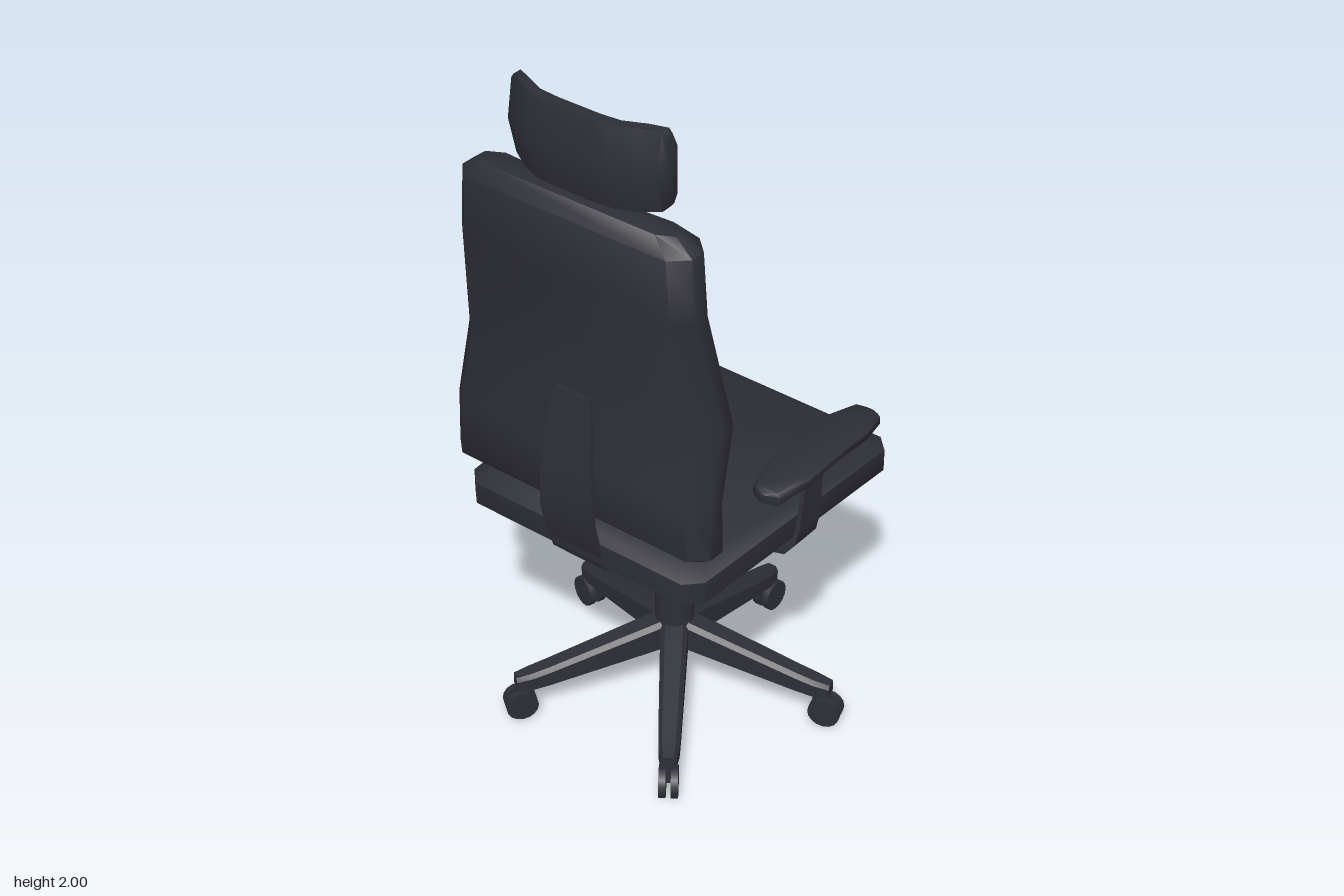
import * as THREE from 'three';
import { toCreasedNormals } from 'three/addons/utils/BufferGeometryUtils.js';

const fabric = new THREE.MeshStandardMaterial({ color: 0x2e2e37 });
fabric.name = 'charcoal';

function mesh(geometry, name, parent) {
  const m = new THREE.Mesh(geometry, fabric);
  m.name = name;
  parent.add(m);
  return m;
}

// Joins equal-length loops of [x, y, z] points into a closed, outward-facing solid.
function loft(sections, crease = 0.9) {
  const n = sections[0].length;
  const pos = sections.flat(2);
  const idx = [];
  for (let s = 0; s < sections.length - 1; s++) {
    for (let i = 0; i < n; i++) {
      const a = s * n + i, b = s * n + (i + 1) % n;
      idx.push(a, b, b + n, a, b + n, a + n);
    }
  }
  const cap = (s, flip) => {
    const c = pos.length / 3;
    for (let k = 0; k < 3; k++) pos.push(sections[s].reduce((t, p) => t + p[k], 0) / n);
    for (let i = 0; i < n; i++) {
      const a = s * n + i, b = s * n + (i + 1) % n;
      idx.push(c, flip ? b : a, flip ? a : b);
    }
  };
  cap(0, true);
  cap(sections.length - 1, false);
  // Reverse the winding when the signed volume is negative
  const v = i => new THREE.Vector3().fromArray(pos, i * 3);
  let volume = 0;
  for (let i = 0; i < idx.length; i += 3) volume += v(idx[i]).dot(v(idx[i + 1]).cross(v(idx[i + 2])));
  if (volume < 0) idx.reverse();
  const g = new THREE.BufferGeometry();
  g.setAttribute('position', new THREE.Float32BufferAttribute(pos, 3));
  g.setIndex(idx);
  return toCreasedNormals(g, crease);
}

// Bent flat bar: path rows are [u, v, halfWidth, widthShift]; place maps (u, v, w) to a point.
function strip(path, thick, place) {
  const sections = path.map(([u, v, hw, shift = 0], i) => {
    const p = path[Math.max(i - 1, 0)], q = path[Math.min(i + 1, path.length - 1)];
    const len = Math.hypot(q[0] - p[0], q[1] - p[1]);
    const nu = -(q[1] - p[1]) / len * thick / 2, nv = (q[0] - p[0]) / len * thick / 2;
    return [[1, 1], [1, -1], [-1, -1], [-1, 1]].map(([a, b]) => place(u + nu * a, v + nv * a, shift + hw * b));
  });
  return loft(sections, 0.6);
}

function addSeat(parent) {
  const rows = [[0.69, 0.045], [0.725, 0], [0.79, 0], [0.825, 0.045]];
  const sections = rows.map(([y, inset]) => {
    const f = 0.415 - inset, b = 0.38 - inset, zf = -0.383 + inset, zb = 0.43 - inset, c = 0.042;
    const half = [[f - c, zf], [f, zf + c], [b, zb - c], [b - c, zb]];
    const left = half.map(([x, z]) => [-x, z]).reverse();
    return [...half, ...left].map(([x, z]) => [x, y, z]);
  });
  mesh(loft(sections), 'seatCushion', parent);
}

function addBackrest(parent) {
  // height, half width, front z, back z
  const rows = [
    [0.842, 0.36, 0.34, 0.4], [0.885, 0.41, 0.315, 0.445], [1.04, 0.407, 0.315, 0.44],
    [1.235, 0.402, 0.265, 0.395], [1.56, 0.362, 0.318, 0.445], [1.73, 0.35, 0.318, 0.445],
    [1.77, 0.3, 0.35, 0.42],
  ];
  const sections = rows.map(([y, w, zf, zb]) => {
    const c = (zb - zf) * 0.33;
    const half = [[0.15, zf + 0.006], [w - 0.045, zf], [w, zf + c], [w, zb - c], [w - 0.045, zb]];
    const left = half.map(([x, z]) => [-x, z]).reverse();
    return [[0, zf + 0.026], ...half, ...left].map(([x, z]) => [x, y, z]);
  });
  mesh(loft(sections), 'backrest', parent);

  // Curved support bar running from under the seat up the back
  const spine = [
    [0.1, 0.678, 0.087], [0.36, 0.678, 0.087], [0.41, 0.7, 0.087], [0.437, 0.78, 0.087], [0.455, 0.86, 0.087],
    [0.455, 0.96, 0.083], [0.442, 1.08, 0.073], [0.428, 1.17, 0.063], [0.421, 1.22, 0.055],
  ];
  mesh(strip(spine, 0.01, (z, y, x) => [x - 0.004, y, z]), 'backSupport', parent);
}

function addHeadrest(parent) {
  // Sections across the width: x, front z, back z, edge trim
  const half = [[0.06, 0.365, 0.436, 0], [0.12, 0.36, 0.43, 0], [0.18, 0.333, 0.402, 0],
    [0.222, 0.312, 0.375, 0.005], [0.24, 0.318, 0.35, 0.025]];
  const rows = [...half.map(([x, ...r]) => [-x, ...r]).reverse(), ...half];
  const sections = rows.map(([x, zf, zb, t]) => {
    const top = 2 - t, low = 1.78 + t, d = (zb - zf) * 0.4;
    return [[low + 0.02, zf], [top - 0.02, zf], [top, zf + 0.012], [top, zb - d],
      [1.89, zb], [low, zb - d], [low, zf + 0.012]].map(([y, z]) => [x, y, z]);
  });
  mesh(loft(sections), 'headrest', parent);
  for (const s of [-1, 1]) {
    mesh(new THREE.BoxGeometry(0.017, 0.09, 0.015), 'headrestPost', parent).position.set(s * 0.035, 1.78, 0.39);
  }
}

function addArm(parent, s) {
  const arm = new THREE.Group();
  arm.name = s > 0 ? 'leftArm' : 'rightArm';
  parent.add(arm);

  // Arched pad, narrowed towards both ends: z, half width, middle height, half thickness
  const rows = [[-0.25, 0.012, 0.967, 0.013], [-0.235, 0.042, 0.967, 0.02], [-0.15, 0.063, 0.977, 0.019],
    [-0.02, 0.063, 0.982, 0.016], [0.11, 0.063, 0.977, 0.019], [0.195, 0.042, 0.967, 0.02], [0.212, 0.012, 0.967, 0.013]];
  const sections = rows.map(([z, w, y, h]) =>
    [[-w, -h * 0.4], [-w * 0.8, -h], [w * 0.8, -h], [w, -h * 0.4], [w, h * 0.6], [w * 0.8, h], [-w * 0.8, h], [-w, h * 0.6]]
      .map(([dx, dy]) => [s * 0.415 + dx, y + dy, z]));
  mesh(loft(sections), 'armPad', arm);

  // Flat bracket curving under the seat
  const bracket = [[0.412, 0.975, 0.033, -0.014], [0.412, 0.77, 0.044, 0.01], [0.405, 0.725, 0.047, 0.017],
    [0.38, 0.692, 0.05, 0.02], [0.34, 0.681, 0.05, 0.02], [0.08, 0.681, 0.05, 0.02]];
  mesh(strip(bracket, 0.013, (x, y, z) => [s * x, y, z]), 'armBracket', arm);
}

function addBase(parent) {
  const base = new THREE.Group();
  base.name = 'swivelBase';
  base.position.set(-0.011, 0, 0.023);
  parent.add(base);
  mesh(new THREE.BoxGeometry(0.295, 0.032, 0.295), 'seatPlate', base).position.y = 0.668;
  mesh(new THREE.CylinderGeometry(0.041, 0.041, 0.25, 20), 'gasLift', base).position.y = 0.54;
  mesh(new THREE.CylinderGeometry(0.054, 0.054, 0.25, 20), 'columnSleeve', base).position.y = 0.305;
  mesh(new THREE.CylinderGeometry(0.056, 0.05, 0.085, 10), 'hub', base).position.y = 0.215;

  for (let i = 0; i < 5; i++) {
    const leg = new THREE.Group();
    leg.name = 'leg' + (i + 1);
    leg.rotation.y = Math.PI + i * Math.PI * 2 / 5;
    base.add(leg);
    // Tapered spoke: distance out, half width, bottom, top
    const rows = [[0, 0.038, 0.175, 0.265], [0.05, 0.038, 0.17, 0.255], [0.36, 0.03, 0.108, 0.163],
      [0.41, 0.028, 0.1, 0.15], [0.452, 0.02, 0.1, 0.14]];
    const sections = rows.map(([z, w, b, t]) =>
      [[-w, b], [w, b], [w, t - 0.012], [w * 0.65, t], [-w * 0.65, t], [-w, t - 0.012]].map(([x, y]) => [x, y, z]));
    mesh(loft(sections, 0.5), 'spoke', leg);
    // Twin-wheel caster
    mesh(new THREE.BoxGeometry(0.016, 0.075, 0.03), 'casterStem', leg).position.set(0, 0.08, 0.43);
    for (const s of [-1, 1]) {
      const wheel = mesh(new THREE.CylinderGeometry(0.045, 0.045, 0.019, 16), 'casterWheel', leg);
      wheel.rotation.z = Math.PI / 2;
      wheel.position.set(s * 0.0165, 0.045, 0.44);
    }
  }
}

export function createModel() {
  const chair = new THREE.Group();
  chair.name = 'officeChair';
  const body = new THREE.Group();
  body.name = 'upholstery';
  body.position.x = -0.008;
  chair.add(body);
  addSeat(body);
  addBackrest(body);
  addHeadrest(body);
  for (const s of [-1, 1]) addArm(chair, s);
  addBase(chair);
  return chair;
}
